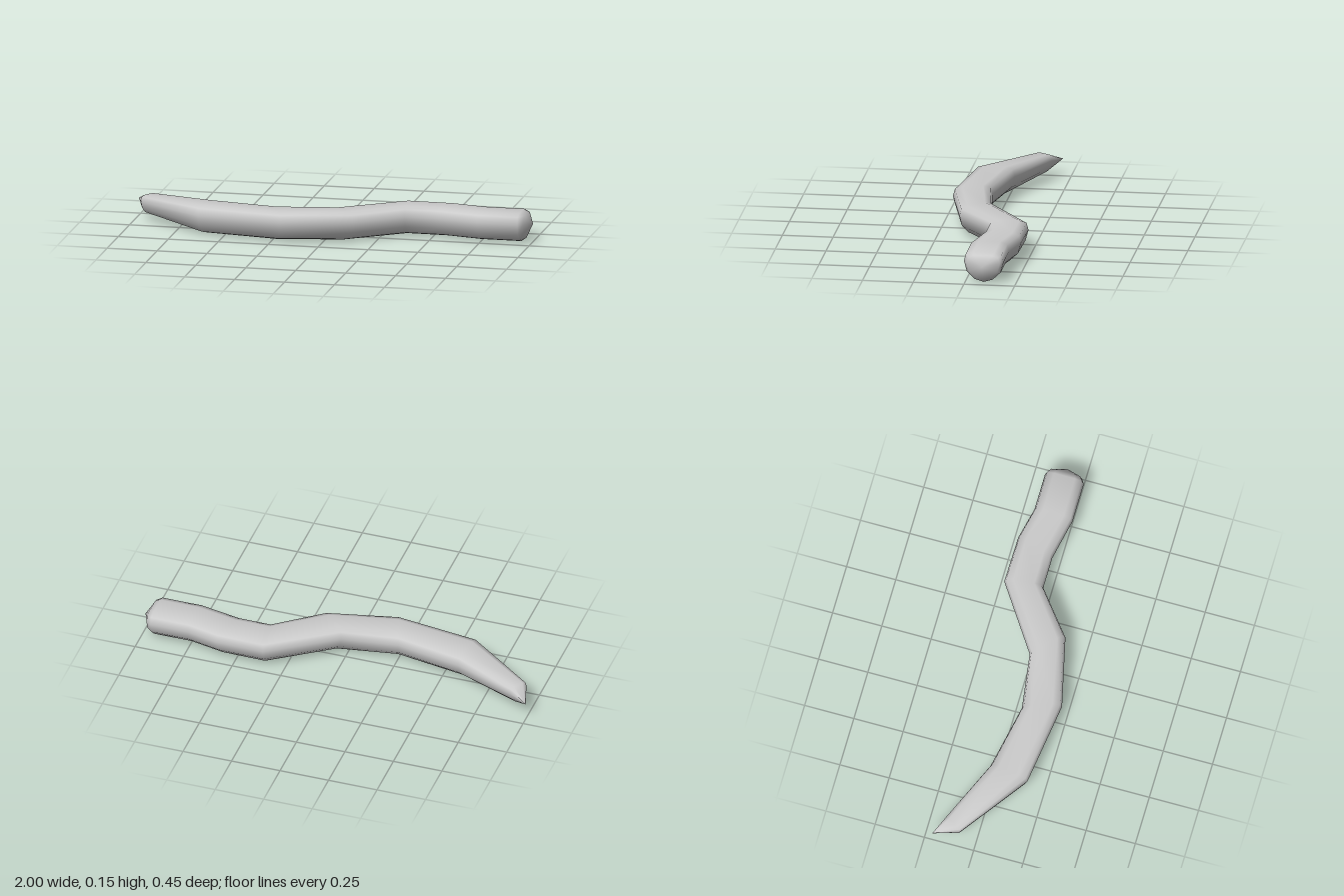
import * as THREE from 'three';
import { toCreasedNormals } from 'three/addons/utils/BufferGeometryUtils.js';

// Half of the cross-section, bottom to top: [sideways -1..1, height 0..1]
const HALF = [[0, 0], [0.45, 0.085], [0.85, 0.335], [1, 0.69], [0.9, 0.925], [0.54, 1]];
const PROFILE = [...HALF, ...HALF.slice(1).reverse().map(([u, v]) => [-u, v])];

// Stations along the body: back x, back z, front x, front z, bottom y, top y
const STATIONS = [
  [-1, -0.21, -1, -0.21, 0.09, 0.09],          // pointed tip
  [-0.905, -0.167, -0.96, -0.08, 0.037, 0.132],
  [-0.59, -0.03, -0.62, 0.165, 0.002, 0.152],
  [-0.26, 0.035, -0.2, 0.222, 0.002, 0.152],
  [0.02, -0.005, 0.15, 0.14, 0.002, 0.152],
  [0.35, -0.228, 0.37, -0.035, 0.002, 0.152],
  [0.59, -0.224, 0.53, -0.035, 0.002, 0.152],
  [0.75, -0.188, 0.74, 0.008, 0.002, 0.152],
  [0.942, -0.188, 0.942, 0.008, 0.002, 0.152],
  [0.967, -0.172, 0.967, -0.008, 0.02, 0.141], // rounded end
  [1, -0.09, 1, -0.09, 0.092, 0.092],
];

// Skins the stations with quads; end stations collapse to a point
function loft(stations, profile) {
  const n = profile.length, last = stations.length - 1;
  const positions = [], index = [];
  for (const [bx, bz, fx, fz, y0, y1] of stations) {
    for (const [u, v] of profile) {
      const t = (u + 1) / 2;
      positions.push(bx + (fx - bx) * t, y0 + (y1 - y0) * v, bz + (fz - bz) * t);
    }
  }
  for (let i = 0; i < last; i++) {
    for (let j = 0; j < n; j++) {
      const a = i * n + j, d = i * n + ((j + 1) % n);
      if (i < last - 1) index.push(a, a + n, d + n);
      if (i > 0) index.push(a, d + n, d);
    }
    // the first and last bands are fans around their end points
    if (i === last - 1) for (let j = 0; j < n; j++) index.push(i * n + j, (i + 1) * n, i * n + ((j + 1) % n));
  }
  const geometry = new THREE.BufferGeometry();
  geometry.setAttribute('position', new THREE.Float32BufferAttribute(positions, 3));
  geometry.setIndex(index);
  return toCreasedNormals(geometry, 1.2);
}

export function createModel() {
  const group = new THREE.Group();
  group.name = 'windingBody';
  const body = new THREE.Mesh(
    loft(STATIONS, PROFILE),
    new THREE.MeshStandardMaterial({ color: 0xcccccc })
  );
  body.name = 'body';
  group.add(body);
  return group;
}
